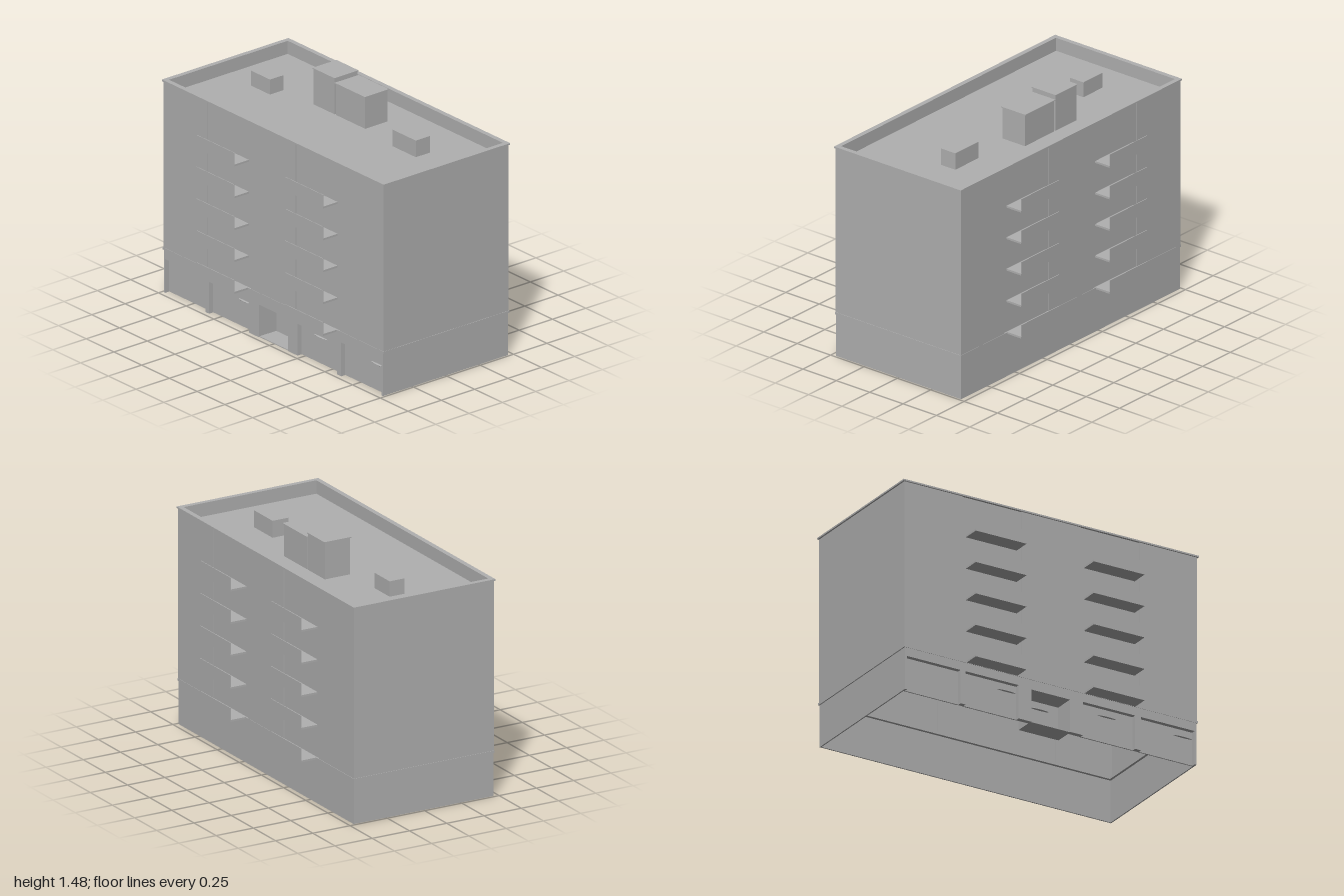
import * as THREE from 'three';

const concrete = new THREE.MeshStandardMaterial({ color: 0xb0b0b0 });
concrete.name = 'grey concrete';

// Box given by its min and max on each axis
function box(parent, name, x0, x1, y0, y1, z0, z1) {
  const mesh = new THREE.Mesh(new THREE.BoxGeometry(x1 - x0, y1 - y0, z1 - z0), concrete);
  mesh.position.set((x0 + x1) / 2, (y0 + y1) / 2, (z0 + z1) / 2);
  mesh.name = name;
  parent.add(mesh);
  return mesh;
}

function rectPath(PathType, x0, x1, y0, y1) {
  return new PathType([[x0, y0], [x1, y0], [x1, y1], [x0, y1]].map(p => new THREE.Vector2(...p)));
}

// Rectangular ring lying flat, used for the coping, parapet and ledge
function ring(parent, name, hx, hz, width, y0, y1) {
  const shape = rectPath(THREE.Shape, -hx, hx, -hz, hz);
  shape.holes.push(rectPath(THREE.Path, -hx + width, hx - width, -hz + width, hz - width));
  const geometry = new THREE.ExtrudeGeometry(shape, { depth: y1 - y0, bevelEnabled: false });
  geometry.rotateX(-Math.PI / 2);
  const mesh = new THREE.Mesh(geometry, concrete);
  mesh.position.y = y0;
  mesh.name = name;
  parent.add(mesh);
}

// Upper facade with raised bays and two stacks of balconies
function facade() {
  const group = new THREE.Group();
  for (const [x0, x1] of [[-0.992, -0.6], [-0.2, 0.2], [0.6, 0.992]]) {
    box(group, 'raisedBay', x0, x1, 0.28, 1.32, 0.45, 0.47);
  }
  for (const x of [-0.4, 0.4]) {
    for (let floor = 0; floor < 5; floor++) {
      const y = 0.268 + floor * 0.2;
      box(group, 'balconySlab', x - 0.172, x + 0.172, y, y + 0.012, 0.46, 0.573);
      box(group, 'balconyFront', x - 0.17, x + 0.17, y + 0.012, y + 0.085, 0.569, 0.573);
    }
  }
  return group;
}

// Ground floor: open frame with recessed shop fronts and an entrance box
function groundFloor() {
  const group = new THREE.Group();
  const bays = [[-0.975, -0.612], [-0.578, -0.218], [0.218, 0.572], [0.612, 0.975]];
  const door = [-0.13, 0.13];
  const shape = new THREE.Shape();
  shape.moveTo(-0.988, 0.268);
  shape.lineTo(-0.988, 0);
  for (const [x0, x1] of [...bays.slice(0, 2), door, ...bays.slice(2)]) {
    const top = x0 === door[0] ? 0.205 : 0.212;
    shape.lineTo(x0, 0);
    shape.lineTo(x0, top);
    shape.lineTo(x1, top);
    shape.lineTo(x1, 0);
  }
  shape.lineTo(0.988, 0);
  shape.lineTo(0.988, 0.268);
  const frame = new THREE.Mesh(
    new THREE.ExtrudeGeometry(shape, { depth: 0.03, bevelEnabled: false }), concrete);
  frame.position.z = 0.44;
  frame.name = 'shopFrame';
  group.add(frame);

  for (const [x0, x1] of bays) box(group, 'shopFront', x0, x1, 0.002, 0.212, 0.434, 0.442);

  // Entrance recess
  box(group, 'entranceBack', -0.135, 0.135, 0, 0.21, 0.335, 0.34);
  box(group, 'entranceFloor', -0.13, 0.13, 0, 0.005, 0.34, 0.465);
  box(group, 'entranceCeiling', -0.135, 0.135, 0.205, 0.21, 0.34, 0.44);
  for (const s of [-1, 1]) {
    box(group, 'entranceSide', s * 0.1325 - 0.0025, s * 0.1325 + 0.0025, 0, 0.205, 0.34, 0.44);
  }

  // Slim rounded bars on the shop fronts and entrance
  for (const [x, z] of [[-0.285, 0.442], [0, 0.342], [0.395, 0.442], [0.91, 0.442]]) {
    const bar = new THREE.Mesh(new THREE.SphereGeometry(1, 16, 8), concrete);
    bar.scale.set(0.064, 0.004, 0.012);
    bar.position.set(x, x === 0 ? 0.158 : 0.167, z);
    bar.name = 'frontBar';
    group.add(bar);
  }

  // Plain side and rear walls
  box(group, 'groundRearWall', -0.988, 0.988, 0, 0.268, -0.468, -0.46);
  for (const s of [-1, 1]) {
    box(group, 'groundSideWall', s * 0.984 - 0.004, s * 0.984 + 0.004, 0, 0.268, -0.46, 0.44);
  }
  return group;
}

export function createModel() {
  const model = new THREE.Group();
  model.name = 'apartmentBlock';

  const ground = groundFloor();
  ground.name = 'groundFloor';
  model.add(ground);
  ring(model, 'floorLedge', 0.995, 0.472, 0.03, 0.266, 0.28);

  // Hollow upper shell
  ring(model, 'upperWalls', 0.992, 0.464, 0.01, 0.28, 1.32);

  const front = facade();
  front.name = 'frontFacade';
  const rear = facade();
  rear.name = 'rearFacade';
  rear.rotation.y = Math.PI;
  model.add(front, rear);

  // Roof deck, parapet and coping
  box(model, 'roofDeck', -0.985, 0.985, 1.24, 1.25, -0.46, 0.46);
  ring(model, 'parapet', 0.985, 0.46, 0.015, 1.25, 1.322);
  ring(model, 'coping', 1, 0.475, 0.03, 1.322, 1.332);

  // Rooftop housings with thin caps
  for (const [x0, x1, top] of [[-0.307, -0.117, 1.48], [-0.107, 0.157, 1.452]]) {
    box(model, 'roofHousing', x0, x1, 1.25, top - 0.006, -0.257, -0.088);
    box(model, 'housingCap', x0 - 0.004, x1 + 0.004, top - 0.006, top, -0.263, -0.082);
  }
  box(model, 'roofVent', -0.75, -0.578, 1.25, 1.344, -0.086, 0.014);
  box(model, 'roofVent', 0.455, 0.663, 1.25, 1.354, -0.155, -0.047);
  return model;
}
